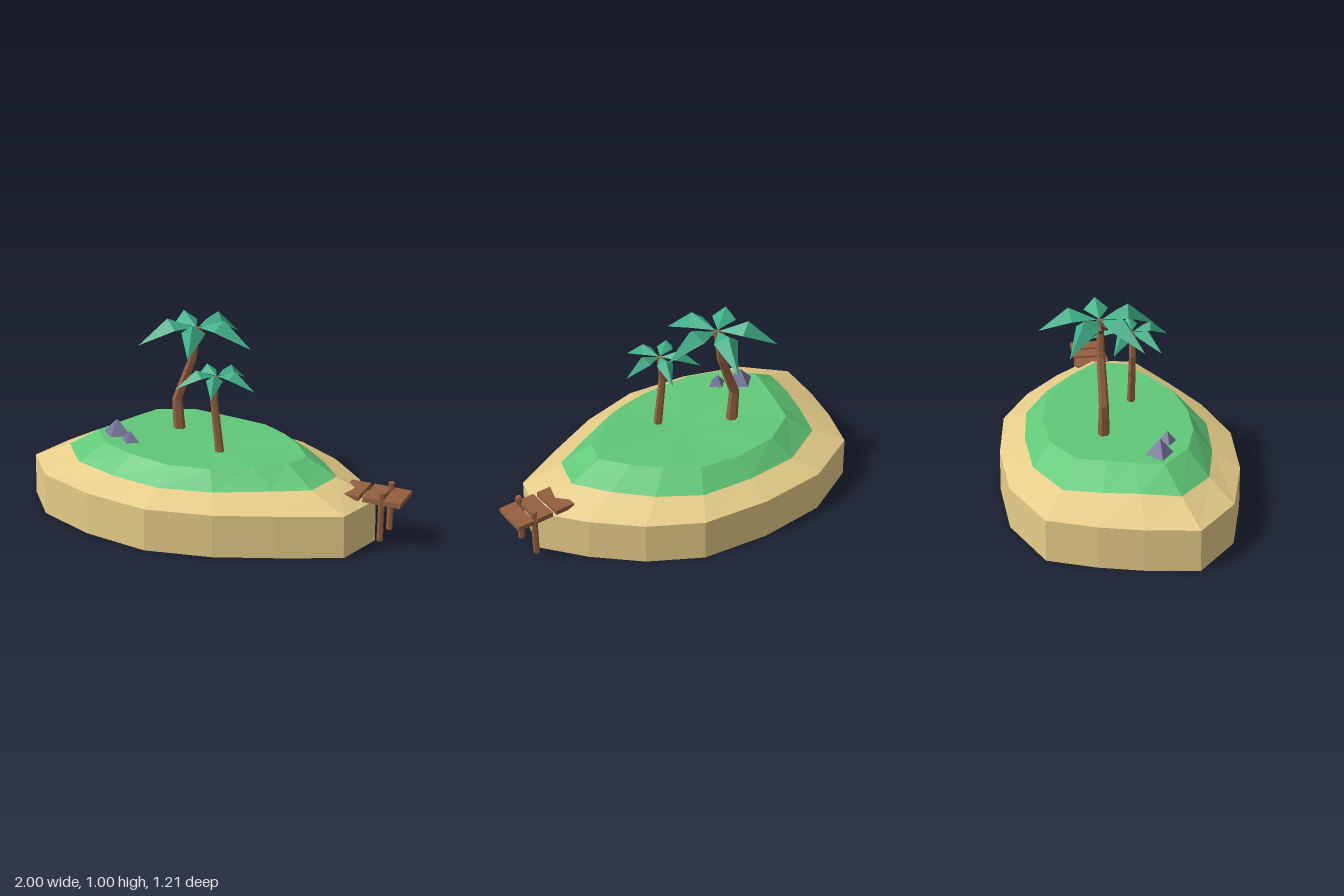
import * as THREE from 'three';

const mat = (color, side = THREE.FrontSide) => {
  const m = new THREE.MeshStandardMaterial({ color, flatShading: true });
  m.side = side;
  return m;
};
const sand = mat(0xe6cc88), grass = mat(0x60c878), wood = mat(0x94603f);
const nut = mat(0x5e3a26), rock = mat(0x77759b), leaf = mat(0x3fb088, THREE.DoubleSide);

function mesh(name, geometry, material, parent) {
  const m = new THREE.Mesh(geometry, material);
  m.name = name;
  parent.add(m);
  return m;
}

// Geometry from a list of triangles, each three [x, y, z] corners
function fromTriangles(tris) {
  const g = new THREE.BufferGeometry();
  g.setAttribute('position', new THREE.Float32BufferAttribute(tris.flat(2), 3));
  g.computeVertexNormals();
  return g;
}

// Joins rings from bottom to top; optional centre points close the ends
function loft(rings, bottom, top) {
  const tris = [];
  const n = rings[0].length;
  for (let i = 0; i < n; i++) {
    const j = (i + 1) % n;
    for (let k = 0; k < rings.length - 1; k++) {
      const a = rings[k], b = rings[k + 1];
      tris.push([a[j], a[i], b[i]], [a[j], b[i], b[j]]);
    }
    const last = rings[rings.length - 1];
    if (bottom) tris.push([rings[0][i], rings[0][j], bottom]);
    if (top) tris.push([last[j], last[i], top]);
  }
  return fromTriangles(tris);
}

// Island outlines as [x, z], from the back round by +x
const SHORE = [[-0.13, -0.605], [0.22, -0.555], [0.475, -0.405], [0.68, -0.21], [0.845, 0],
  [0.775, 0.25], [0.48, 0.395], [0.2, 0.52], [-0.13, 0.6], [-0.48, 0.56], [-0.8, 0.45],
  [-0.995, 0.245], [-0.95, -0.01], [-0.89, -0.22], [-0.795, -0.45], [-0.485, -0.59]];
const MEADOW = [[-0.125, -0.475], [0.145, -0.44], [0.35, -0.315], [0.51, -0.16], [0.635, 0],
  [0.58, 0.19], [0.395, 0.285], [0.145, 0.405], [-0.125, 0.47], [-0.4, 0.435], [-0.65, 0.36],
  [-0.81, 0.19], [-0.77, 0], [-0.72, -0.17], [-0.65, -0.35], [-0.41, -0.465]];
const RIM = [[-0.12, -0.38], [0.09, -0.345], [0.25, -0.24], [0.37, -0.13], [0.47, 0],
  [0.43, 0.135], [0.28, 0.23], [0.1, 0.335], [-0.12, 0.37], [-0.34, 0.35], [-0.53, 0.28],
  [-0.66, 0.14], [-0.62, 0], [-0.58, -0.13], [-0.53, -0.27], [-0.35, -0.37]];

function addIsland(parent) {
  const base = SHORE.map(([x, z]) => [x * 1.007, 0, z * 1.008]);
  const shore = SHORE.map(([x, z]) => [x, 0.22, z]);
  const meadow = MEADOW.map(([x, z]) => [x, 0.305 - 0.022 * Math.min(1, Math.abs(z) / 0.45), z]);
  const rim = RIM.map(([x, z]) => [x, 0.365 + 0.02 * Math.min(1, Math.abs(x + 0.05) / 0.35), z]);
  mesh('sandBase', loft([base, shore, meadow], [-0.1, 0, 0]), sand, parent);
  mesh('grassMound', loft([meadow, rim], null, [-0.05, 0.366, 0]), grass, parent);
}

// Folded leaf along +x, with its root at the origin
const leafGeometry = (() => {
  const root = [0.01, 0, 0], peak = [0.155, 0.055, 0], tip = [0.305, -0.08, 0];
  const l = [0.125, 0.005, 0.062], r = [0.125, 0.005, -0.062];
  return fromTriangles([[root, l, peak], [l, tip, peak], [root, peak, r], [r, peak, tip]]);
})();

// path: [x, y, radius] along the trunk
function addPalm(name, z, path, size, parent) {
  const palm = new THREE.Group();
  palm.name = name;
  parent.add(palm);
  const rings = path.map(([x, y, r]) => Array.from({ length: 6 }, (_, i) => {
    const a = (i + 0.5) * Math.PI / 3;
    return [x + r * 1.1 * Math.cos(a), y, z + r * Math.sin(a)];
  }));
  const [tx, ty] = path[path.length - 1];
  mesh('trunk', loft(rings, null, [tx, ty, z]), wood, palm);

  const crown = new THREE.Group();
  crown.name = 'crown';
  crown.position.set(tx, ty, z);
  crown.scale.setScalar(size);
  palm.add(crown);
  for (let i = 0; i < 5; i++) {
    mesh('leaf', leafGeometry, leaf, crown).rotation.y = i * Math.PI * 0.4;
  }
  for (let i = 0; i < 3; i++) {
    const a = Math.PI / 2 + i * Math.PI / 2;
    const c = mesh('coconut', new THREE.OctahedronGeometry(0.026), nut, crown);
    c.position.set(0.035 * Math.cos(a), -0.035, 0.035 * Math.sin(a));
  }
}

function addRock(x, y, z, w, h, d, parent) {
  const r = mesh('rock', new THREE.OctahedronGeometry(1), rock, parent);
  r.position.set(x, y, z);
  r.scale.set(w, h, d);
}

function addDock(parent) {
  const dock = new THREE.Group();
  dock.name = 'dock';
  parent.add(dock);
  for (const [x0, x1] of [[0.685, 0.787], [0.807, 0.895], [0.912, 1.0]]) {
    const p = mesh('plank', new THREE.BoxGeometry(x1 - x0, 0.025, 0.184), wood, dock);
    p.position.set((x0 + x1) / 2, 0.252, 0);
  }
  for (const z of [0.075, -0.068]) {
    const p = mesh('post', new THREE.CylinderGeometry(0.016, 0.016, 0.255, 6), wood, dock);
    p.position.set(0.9, 0.172, z);
  }
}

export function createModel() {
  const model = new THREE.Group();
  model.name = 'palmIsland';
  addIsland(model);
  addPalm('tallPalm', -0.098,
    [[-0.3, 0.36, 0.03], [-0.312, 0.54, 0.025], [-0.222, 0.765, 0.021], [-0.19, 0.945, 0.017]], 1, model);
  addPalm('shortPalm', 0.1,
    [[0.037, 0.355, 0.021], [0.003, 0.645, 0.018], [0.02, 0.772, 0.014]], 0.68, model);
  addRock(-0.545, 0.38, 0.137, 0.083, 0.085, 0.07, model);
  addRock(-0.433, 0.38, 0.197, 0.053, 0.057, 0.045, model);
  addDock(model);
  return model;
}
